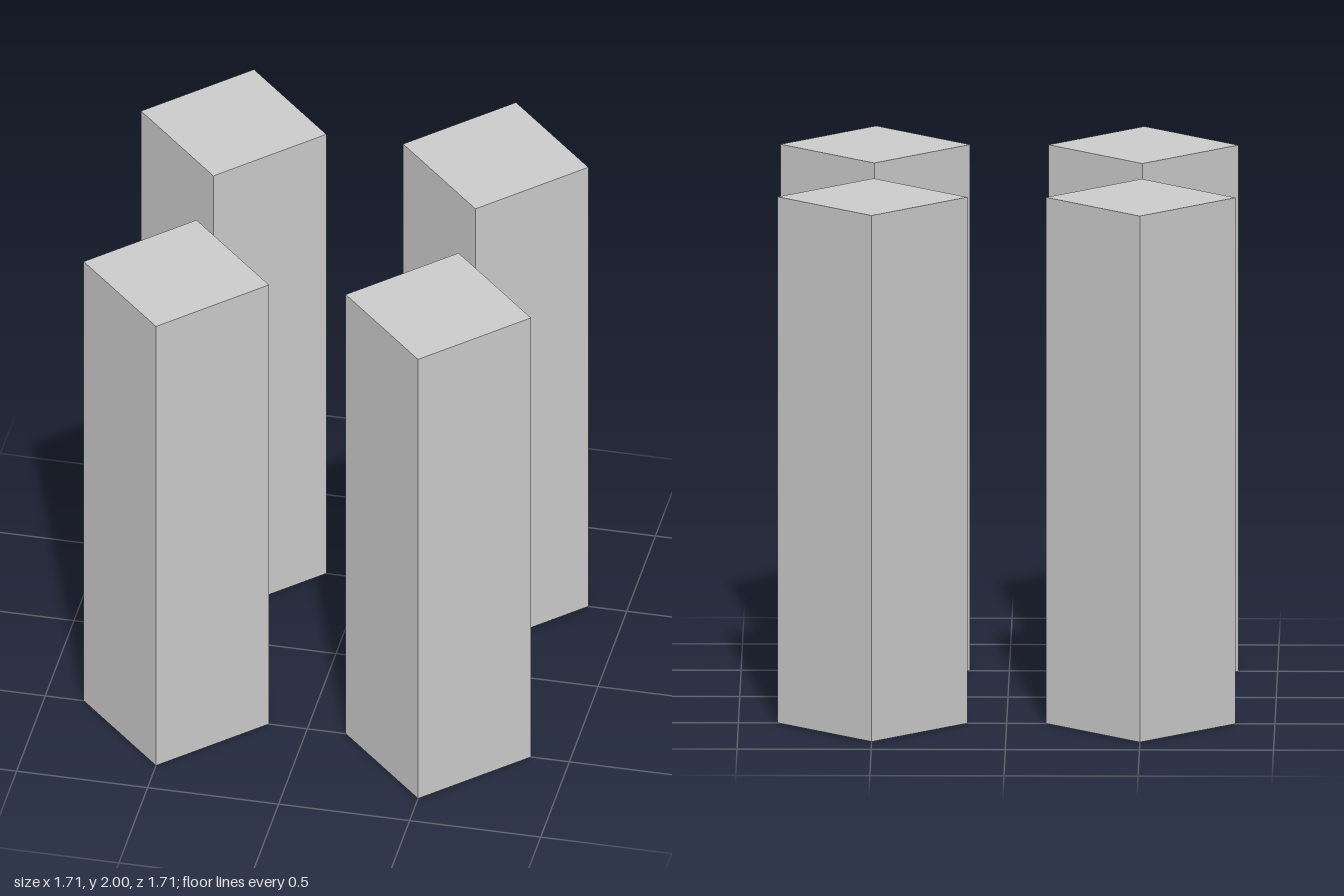
import * as THREE from 'three';

const SIDE = 0.5;    // width of each square pillar
const HEIGHT = 2;
const OFFSET = 0.5;  // pillar centre from the middle, along x and z

export function createModel() {
  const model = new THREE.Group();
  model.name = 'fourPillars';

  const material = new THREE.MeshStandardMaterial({ color: 0xcccccc, flatShading: true });
  const geometry = new THREE.BoxGeometry(SIDE, HEIGHT, SIDE);

  // Four square pillars, each turned 45 degrees, one per corner
  for (const [zName, z] of [['front', 1], ['back', -1]]) {
    for (const [xName, x] of [['Left', 1], ['Right', -1]]) {
      const pillar = new THREE.Mesh(geometry, material);
      pillar.name = `${zName}${xName}Pillar`;
      pillar.position.set(x * OFFSET, HEIGHT / 2, z * OFFSET);
      pillar.rotation.y = Math.PI / 4;
      model.add(pillar);
    }
  }

  return model;
}
